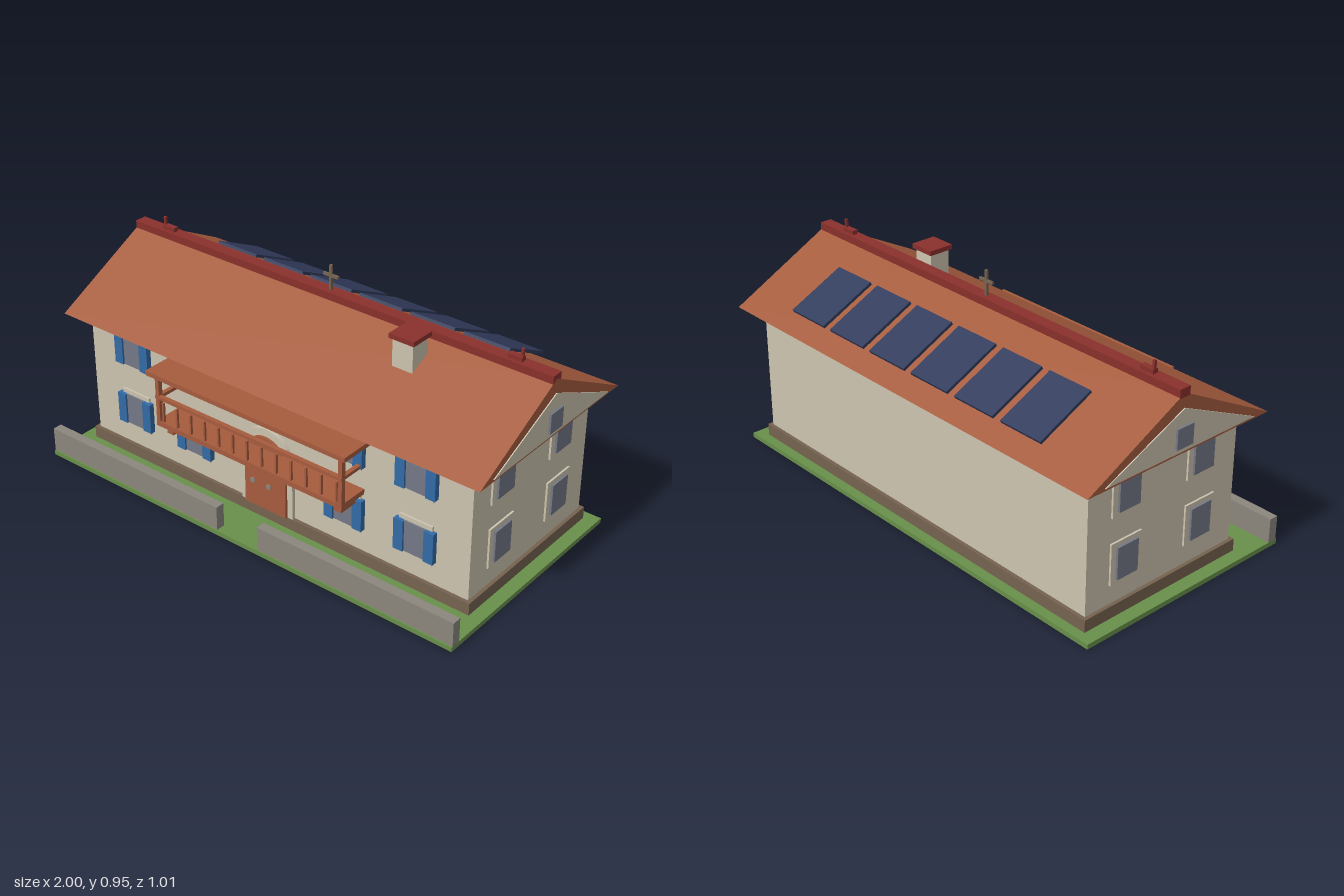
import * as THREE from 'three';

const mat = (name, color) => {
  const m = new THREE.MeshStandardMaterial({ color });
  m.name = name;
  return m;
};

export function createModel() {
  const plaster = mat('cream plaster', 0xcdc4b0);
  const plinthBrown = mat('plinth brown', 0x766350);
  const stone = mat('grey stone', 0x8b867d);
  const grass = mat('grass green', 0x68904a);
  const blue = mat('shutter blue', 0x336ba6);
  const glass = mat('window glass', 0x747886);
  const navy = mat('solar navy', 0x323c5c);
  const red = mat('ridge red', 0x8a302c);
  const tile = mat('terracotta', 0xa65c3e);

  const model = new THREE.Group();
  model.name = 'farmhouse';

  const add = (name, geometry, material, parent = model) => {
    const mesh = new THREE.Mesh(geometry, material);
    mesh.name = name;
    parent.add(mesh);
    return mesh;
  };
  // Box given by its minimum and maximum on each axis
  const box = (name, m, x0, x1, y0, y1, z0, z1, parent = model) => {
    const mesh = add(name, new THREE.BoxGeometry(x1 - x0, y1 - y0, z1 - z0), m, parent);
    mesh.position.set((x0 + x1) / 2, (y0 + y1) / 2, (z0 + z1) / 2);
    return mesh;
  };
  const group = (name) => {
    const g = new THREE.Group();
    g.name = name;
    model.add(g);
    return g;
  };
  // Triangle in the z-y plane, extruded along x from x0 to x1
  const gablePrism = (name, m, points, x0, x1) => {
    const shape = new THREE.Shape(points.map(([z, y]) => new THREE.Vector2(-z, y)));
    const geo = new THREE.ExtrudeGeometry(shape, { depth: x1 - x0, bevelEnabled: false });
    geo.rotateY(Math.PI / 2);
    geo.translate(x0, 0, 0);
    return add(name, geo, m);
  };

  // Ground and house body
  box('ground', grass, -0.985, 0.985, 0, 0.02, -0.48, 0.505);
  box('plinth', plinthBrown, -0.93, 0.93, 0.02, 0.07, -0.44, 0.325);
  box('walls', plaster, -0.915, 0.915, 0.07, 0.605, -0.425, 0.31);

  // Roof with gable panels
  gablePrism('roof', tile, [[0.388, 0.6], [-0.502, 0.6], [-0.057, 0.832]], -0.987, 0.987);
  const gable = [[0.31, 0.61], [-0.424, 0.61], [-0.057, 0.775]];
  gablePrism('leftGable', plaster, gable, 0.984, 0.991);
  gablePrism('rightGable', plaster, gable, -0.991, -0.984);

  // Ridge, end finials and centre cross
  box('ridge', red, -0.987, 0.987, 0.815, 0.85, -0.082, -0.032);
  for (const s of [-1, 1]) {
    const finial = group('ridgeFinial');
    box('finialBase', red, s * 0.82 - 0.03, s * 0.82 + 0.03, 0.85, 0.867, -0.069, -0.045, finial);
    box('finialPin', red, s * 0.845 - 0.005, s * 0.845 + 0.005, 0.85, 0.9, -0.062, -0.052, finial);
  }
  const cross = group('cross');
  box('crossPole', plinthBrown, -0.005, 0.005, 0.85, 0.952, -0.062, -0.052, cross);
  box('crossArm', plinthBrown, -0.035, 0.035, 0.903, 0.914, -0.062, -0.052, cross);

  // Chimney
  box('chimney', plaster, 0.41, 0.5, 0.7, 0.86, 0.02, 0.108);
  box('chimneyCap', red, 0.4, 0.51, 0.86, 0.879, 0.01, 0.118);

  // Solar panels on the back slope
  for (let i = 0; i < 6; i++) {
    const panel = add('solarPanel', new THREE.BoxGeometry(0.2, 0.012, 0.258), navy);
    panel.position.set(-0.6 + i * 0.24, 0.72, -0.322);
    panel.rotation.x = -Math.atan(0.487);
  }

  // Front windows with frames and shutters
  for (const x of [-0.685, -0.367, 0.367, 0.685]) {
    for (const y of [0.232, 0.502]) {
      const w = group('frontWindow');
      box('windowFrame', plaster, x - 0.072, x + 0.072, y - 0.084, y + 0.084, 0.3, 0.318, w);
      box('windowGlass', glass, x - 0.05, x + 0.05, y - 0.065, y + 0.065, 0.3, 0.325, w);
      for (const s of [-1, 1]) {
        const c = x + s * 0.066;
        box('shutter', blue, c - 0.021, c + 0.021, y - 0.065, y + 0.065, 0.305, 0.333, w);
      }
    }
  }

  // Side windows and the small gable windows
  for (const s of [-1, 1]) {
    const sideBox = (name, m, a, b, y0, y1, z0, z1, g) =>
      box(name, m, Math.min(s * a, s * b), Math.max(s * a, s * b), y0, y1, z0, z1, g);
    for (const z of [-0.24, 0.13]) {
      for (const y of [0.232, 0.502]) {
        const w = group('sideWindow');
        sideBox('windowFrame', plaster, 0.9, 0.923, y - 0.084, y + 0.084, z - 0.074, z + 0.074, w);
        sideBox('windowGlass', glass, 0.9, 0.932, y - 0.065, y + 0.065, z - 0.05, z + 0.05, w);
      }
    }
    sideBox('gableWindow', glass, 0.98, 1.0, 0.63, 0.71, -0.096, -0.017);
  }

  // Arched door with surround and studs
  const arch = (name, m, r, top, z0, z1) => {
    const shape = new THREE.Shape();
    shape.moveTo(-r, 0.07);
    shape.lineTo(r, 0.07);
    shape.lineTo(r, top - r);
    shape.absarc(0, top - r, r, 0, Math.PI, false);
    shape.closePath();
    const geo = new THREE.ExtrudeGeometry(shape, { depth: z1 - z0, bevelEnabled: false, curveSegments: 12 });
    geo.translate(0, 0, z0);
    add(name, geo, m);
  };
  arch('doorSurround', plaster, 0.125, 0.422, 0.3, 0.325);
  arch('door', tile, 0.1, 0.39, 0.3, 0.335);
  for (const [x, y] of [[-0.02, 0.262], [0.06, 0.262], [-0.06, 0.18], [0.018, 0.18]]) {
    const stud = add('doorStud', new THREE.CylinderGeometry(0.011, 0.011, 0.008, 10), stone);
    stud.rotation.x = Math.PI / 2;
    stud.position.set(x, y, 0.336);
  }

  // Balcony with canopy, posts, rails and balusters
  const balcony = group('balcony');
  box('balconyFloor', tile, -0.45, 0.45, 0.321, 0.342, 0.31, 0.441, balcony);
  box('balconyCanopy', tile, -0.477, 0.477, 0.541, 0.56, 0.31, 0.461, balcony);
  box('frontRail', tile, -0.45, 0.45, 0.441, 0.455, 0.425, 0.443, balcony);
  for (const s of [-1, 1]) {
    box('post', tile, s * 0.441 - 0.009, s * 0.441 + 0.009, 0.32, 0.545, 0.421, 0.44, balcony);
    box('sideRail', tile, s * 0.441 - 0.009, s * 0.441 + 0.009, 0.441, 0.455, 0.31, 0.43, balcony);
    box('bracket', tile, s * 0.41 - 0.016, s * 0.41 + 0.016, 0.281, 0.322, 0.31, 0.412, balcony);
  }
  for (let i = -6; i <= 6; i++) {
    box('baluster', tile, i * 0.07 - 0.004, i * 0.07 + 0.004, 0.34, 0.425, 0.426, 0.436, balcony);
  }

  // Garden wall with a gap for the entrance
  box('gardenWallLeft', stone, 0.1, 0.985, 0.02, 0.121, 0.461, 0.5);
  box('gardenWallRight', stone, -0.985, -0.1, 0.02, 0.121, 0.461, 0.5);

  return model;
}
